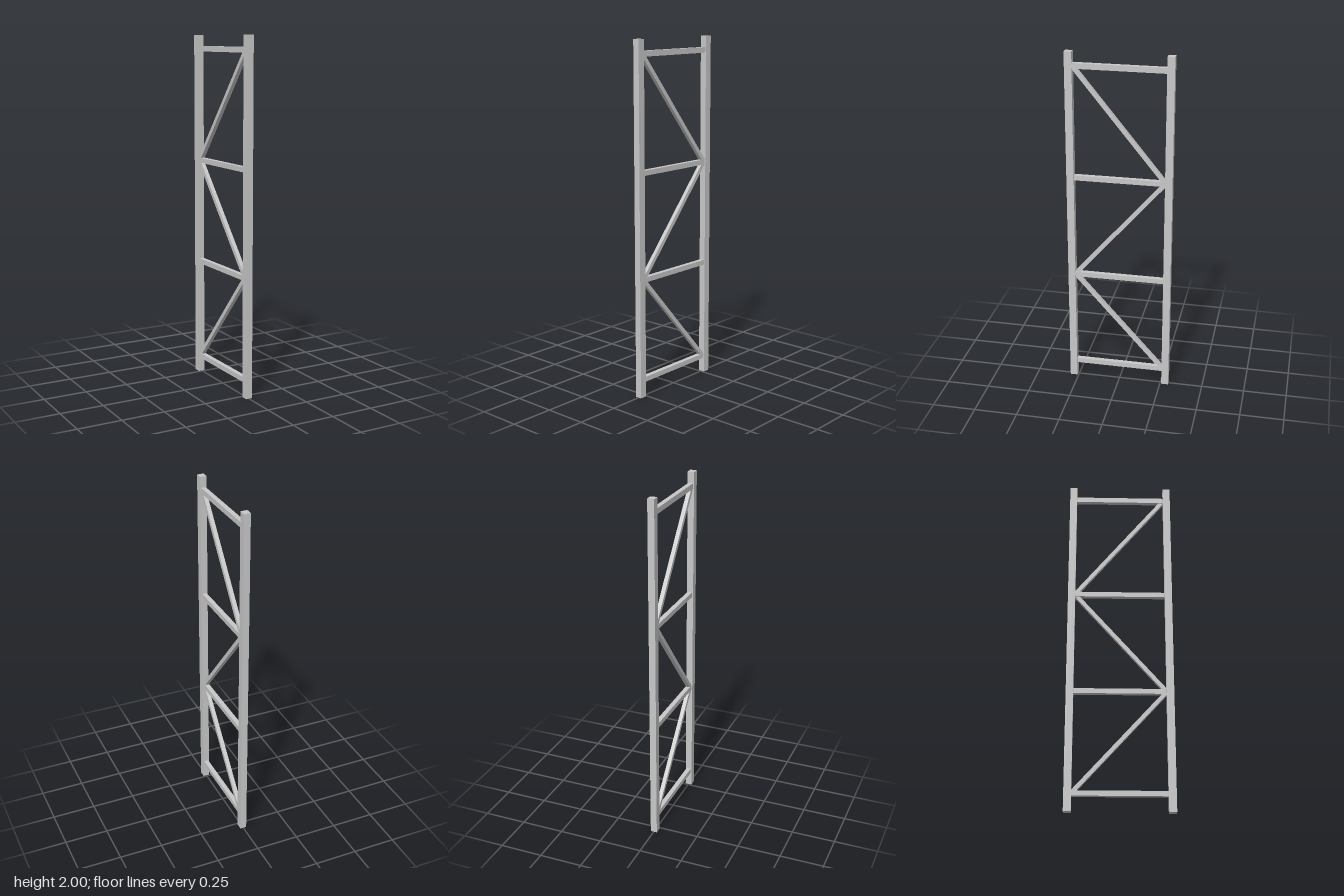
import * as THREE from 'three';

const HEIGHT = 2;
const POST_Z = 0.279;             // post centre line
const POST_W = 0.038, POST_D = 0.042;
const RUNG = 0.029;               // rung height
const BRACE = 0.023;              // square diagonal section
const JOINT_Z = 0.26;             // inner face of the posts
const LEVELS = [0.1, 0.682, 1.282, 1.922];

export function createModel() {
  const group = new THREE.Group();
  group.name = 'uprightFrame';
  const steel = new THREE.MeshStandardMaterial({ color: 0xc8c8c8 });
  steel.name = 'light grey steel';

  const bar = (name, w, h, d) => {
    const mesh = new THREE.Mesh(new THREE.BoxGeometry(w, h, d), steel);
    mesh.name = name;
    group.add(mesh);
    return mesh;
  };

  // Two upright posts
  for (const side of [1, -1]) {
    bar(side > 0 ? 'frontPost' : 'backPost', POST_W, HEIGHT, POST_D)
      .position.set(0, HEIGHT / 2, side * POST_Z);
  }

  // Horizontal rungs between the posts
  LEVELS.forEach((y, i) => {
    const h = i === LEVELS.length - 1 ? 0.031 : RUNG;
    bar(`rung${i + 1}`, 0.027, h, JOINT_Z * 2).position.y = y;
  });

  // Zigzag diagonal braces, starting at the foot of the back post
  for (let i = 0; i < LEVELS.length - 1; i++) {
    const side = i % 2 ? 1 : -1;
    const rise = LEVELS[i + 1] - LEVELS[i];
    const run = -side * JOINT_Z * 2;
    const brace = bar(`brace${i + 1}`, BRACE, Math.hypot(rise, run), BRACE);
    brace.position.y = (LEVELS[i] + LEVELS[i + 1]) / 2;
    brace.rotation.x = Math.atan2(run, rise);
  }
  return group;
}
